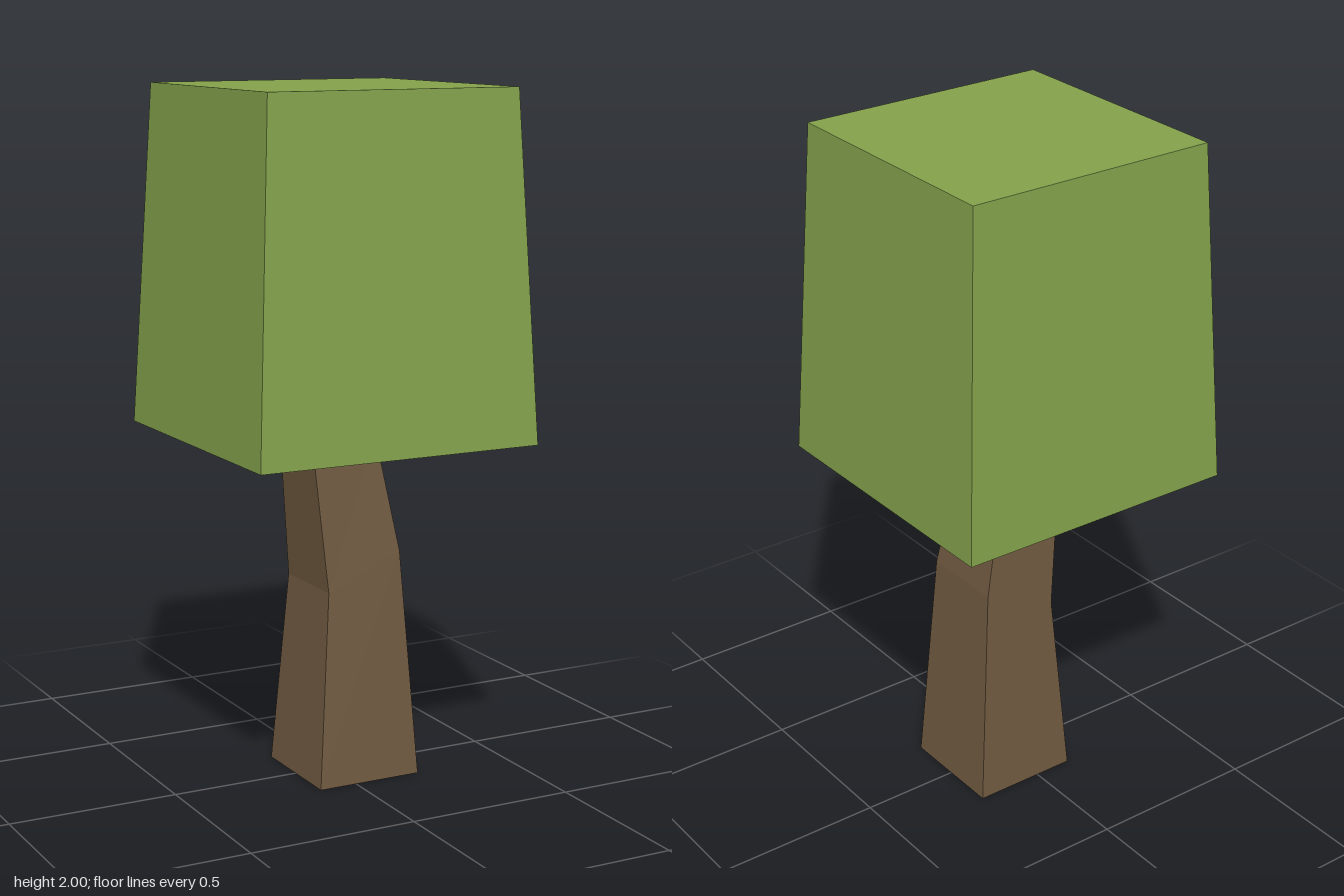
import * as THREE from 'three';

// Four corners of a section; the left and right edges may sit at different heights
function section(x0, x1, y0, y1, z0, z1) {
  return [[x0, y0, z1], [x1, y1, z1], [x1, y1, z0], [x0, y0, z0]];
}

// Flat-sided skin through the sections, bottom to top, with optional caps
function loft(sections, capped) {
  const pos = [];
  const quad = (a, b, c, d) => pos.push(...a, ...b, ...c, ...a, ...c, ...d);
  for (let s = 0; s < sections.length - 1; s++) {
    const lo = sections[s], hi = sections[s + 1];
    for (let i = 0; i < 4; i++) {
      const j = (i + 1) % 4;
      quad(lo[i], lo[j], hi[j], hi[i]);
    }
  }
  if (capped) {
    const lo = sections[0], hi = sections[sections.length - 1];
    quad(lo[3], lo[2], lo[1], lo[0]);
    quad(hi[0], hi[1], hi[2], hi[3]);
  }
  const geometry = new THREE.BufferGeometry();
  geometry.setAttribute('position', new THREE.Float32BufferAttribute(pos, 3));
  geometry.computeVertexNormals();
  return geometry;
}

export function createModel() {
  const bark = new THREE.MeshStandardMaterial({ color: 0x705a41, flatShading: true, side: THREE.DoubleSide });
  bark.name = 'bark brown';
  const leaf = new THREE.MeshStandardMaterial({ color: 0x84a24c, flatShading: true });
  leaf.name = 'leaf green';

  // Bent trunk, hollow and open at the foot
  const trunk = new THREE.Mesh(loft([
    section(-0.115, 0.205, 0, 0, -0.163, 0.162),
    section(-0.07, 0.16, 0.57, 0.67, -0.132, 0.125),
    section(-0.106, 0.097, 1.01, 1.01, -0.115, 0.092),
  ], false), bark);
  trunk.name = 'trunk';

  // Tapered block of leaves
  const foliage = new THREE.Mesh(loft([
    section(-0.43, 0.43, 1.01, 1.01, -0.43, 0.43),
    section(-0.381, 0.381, 2, 2, -0.381, 0.381),
  ], true), leaf);
  foliage.name = 'foliage';

  const tree = new THREE.Group();
  tree.name = 'tree';
  tree.add(trunk, foliage);
  return tree;
}
